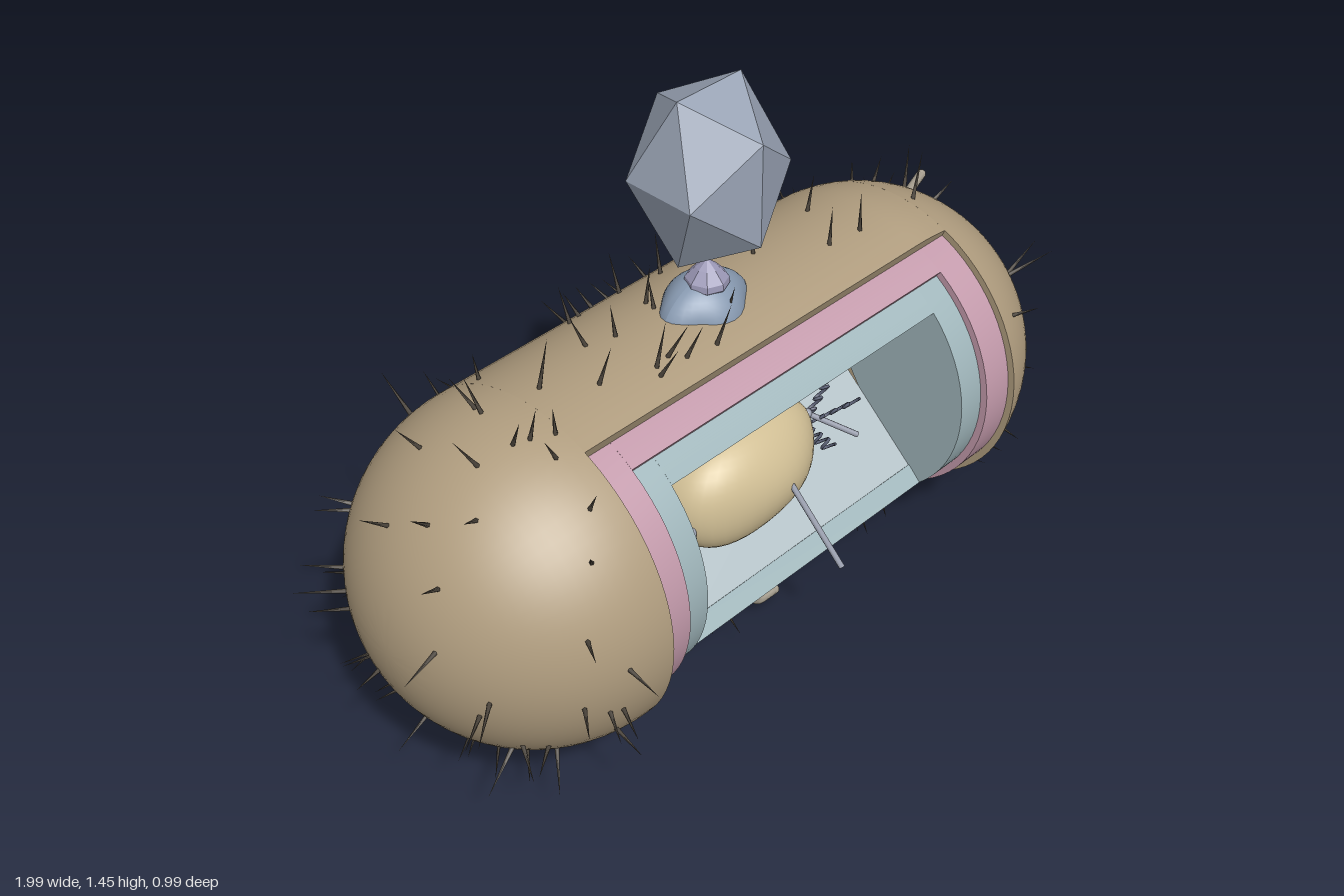
import * as THREE from 'three';
import { mergeGeometries, toCreasedNormals } from 'three/addons/utils/BufferGeometryUtils.js';

const R = 0.405, L = 0.5225, DEG = Math.PI / 180;
const V = (x, y, z) => new THREE.Vector3(x, y, z);

function mat(color, extra = {}) {
  return new THREE.MeshStandardMaterial({ color, side: THREE.DoubleSide, ...extra });
}

function add(parent, name, geometry, material, x = 0, y = 0, z = 0) {
  const mesh = new THREE.Mesh(geometry, material);
  mesh.name = name;
  mesh.position.set(x, y, z);
  parent.add(mesh);
  return mesh;
}

function seeded(seed) {
  return () => (seed = (seed * 16807) % 2147483647) / 2147483647;
}

// Solid swept about the x axis; profile is [radius, x], angle 0 points to +z
function sweep(profile, from = 0, to = 360) {
  const pts = profile.map(([r, x]) => new THREE.Vector2(r, x));
  const full = to - from >= 360;
  const lathe = new THREE.LatheGeometry(
    full ? pts : [...pts, pts[0]], Math.max(12, Math.round((to - from) / 5)), from * DEG, (to - from) * DEG);
  const parts = [toCreasedNormals(lathe, 0.6)];
  if (!full) {
    for (const a of [from, to]) {
      const rim = new THREE.ShapeGeometry(new THREE.Shape(pts)).rotateY(a * DEG - Math.PI / 2);
      parts.push(rim.toNonIndexed());
    }
  }
  return mergeGeometries(parts).rotateZ(-Math.PI / 2);
}

// Capsule radius at x
function radiusAt(x) {
  const d = x - THREE.MathUtils.clamp(x, -L, L);
  return Math.sqrt(Math.max(0, R * R - d * d));
}

function block(r0, r1, x0, x1) {
  return [[r0, x0], [r1, x0], [r1, x1], [r0, x1]];
}

// One inner wall layer: a frame around a smaller window
function frame(parent, name, material, r, outer, inner) {
  const [A, B, H] = outer, [a, b, h] = inner;
  add(parent, name + 'RightEnd', sweep(block(0.001, r, A, a), -H, H), material);
  add(parent, name + 'LeftEnd', sweep(block(0.001, r, b, B), -H, H), material);
  add(parent, name + 'Top', sweep(block(r - 0.05, r, a, b), 180 + (180 - H), 360 - h), material).scale.y = 1;
  add(parent, name + 'Bottom', sweep(block(r - 0.05, r, a, b), h, H), material);
}

// Outer skin: two rounded ends and the cut-open middle
function buildBody(body) {
  const skin = mat(0xb09d7f);
  const x0 = -0.51, x1 = 0.63, cut = 67, n = 20;
  const right = [], left = [], mid = [[0.365, x0], [R, x0]];
  for (let i = 0; i <= n; i++) {
    const t = (i / n) * Math.PI / 2;
    right.push([R * Math.sin(t), -L - R * Math.cos(t)]);
  }
  right.push([R, x0], [0, x0]);
  const t0 = Math.asin((x1 - L) / R);
  left.push([0, x1]);
  for (let i = 0; i <= n; i++) {
    const t = t0 + (i / n) * (Math.PI / 2 - t0);
    left.push([R * Math.cos(t), L + R * Math.sin(t)]);
  }
  for (let i = 0; i <= 4; i++) {
    const x = L + (i / 4) * (x1 - L);
    mid.push([radiusAt(x), x]);
  }
  mid.push([0.365, x1]);
  add(body, 'skinRightEnd', sweep(right), skin);
  add(body, 'skinLeftEnd', sweep(left), skin);
  add(body, 'skinMiddle', sweep(mid, cut, 360 - cut), skin);

  // Wall layers
  const w1 = [-0.43, 0.55, 56], w2 = [-0.36, 0.48, 45];
  frame(body, 'middleWall', mat(0xc39aab), 0.373, [x0, x1, 70], w1);
  frame(body, 'innerWall', mat(0xa0b6bb), 0.355, w1, w2);

  // Cavity lining
  const lining = new THREE.PlaneGeometry(w2[1] - w2[0], 1, 1, 3);
  const rows = [[0.235, 0.25], [-0.03, 0.16], [-0.03, 0], [0.25, -0.25]];
  const p = lining.attributes.position;
  for (let i = 0; i < p.count; i++) {
    const [z, y] = rows[Math.floor(i / 2)];
    p.setXYZ(i, p.getX(i) + (w2[0] + w2[1]) / 2, y, z);
  }
  add(body, 'cavityLining', toCreasedNormals(lining, 0.2), mat(0xb3c0c6));
}

// Soft lump made from a sphere with gentle waves
function lump(sx, sy, sz, wave) {
  const g = new THREE.SphereGeometry(1, 40, 28);
  const p = g.attributes.position, v = V(0, 0, 0);
  for (let i = 0; i < p.count; i++) {
    v.fromBufferAttribute(p, i);
    const k = 1 + wave * (Math.sin(3 * v.x + 1) * Math.cos(2.5 * v.y) + 0.6 * Math.sin(4 * v.z + 2 * v.x));
    p.setXYZ(i, v.x * k * sx, v.y * k * sy, v.z * k * sz);
  }
  g.computeVertexNormals();
  return g;
}

function tube(points, r, segments = 16, sides = 8) {
  return new THREE.TubeGeometry(new THREE.CatmullRomCurve3(points), segments, r, sides);
}

// Organ, rods and curled strands in the cavity
function buildContents(root) {
  const organ = mat(0xd2c096), rodMat = mat(0x9a9fae), curl = mat(0x5d6378);
  add(root, 'organ', lump(0.24, 0.15, 0.13, 0.06), organ, 0.01, 0.51, 0.11);
  add(root, 'organLobe', lump(0.105, 0.042, 0.08, 0.06), organ, 0.005, 0.685, 0.1).rotation.z = 0.12;
  const rods = [
    [V(-0.17, 0.53, 0.15), V(-0.25, 0.32, 0.25)],
    [V(0.06, 0.53, 0.22), V(0.09, 0.33, 0.37)],
    [V(0.24, 0.55, 0.12), V(0.33, 0.48, 0.2)]];
  for (const [a, b] of rods) {
    add(root, 'rod', tube([a, a.clone().lerp(b, 0.5), b], 0.007, 4), rodMat);
    add(root, 'rodKnob', new THREE.SphereGeometry(0.012, 12, 8), rodMat, a.x, a.y, a.z);
  }
  const strands = [
    [V(-0.19, 0.55, 0.1), V(-0.28, 0.58, 0.14)], [V(-0.2, 0.6, 0.1), V(-0.22, 0.65, 0.14)],
    [V(-0.2, 0.5, 0.12), V(-0.34, 0.47, 0.17)], [V(0.25, 0.5, 0.1), V(0.3, 0.62, 0.13)],
    [V(0.23, 0.52, 0.12), V(0.35, 0.55, 0.17)], [V(0.24, 0.5, 0.1), V(0.27, 0.46, 0.17)]];
  for (const [a, b] of strands) {
    const pts = [];
    for (let i = 0; i <= 32; i++) {
      const t = i * 0.8;
      pts.push(a.clone().lerp(b, i / 32).add(V(0.012 * Math.cos(t), 0.014 * Math.sin(t), 0.012 * Math.sin(t))));
    }
    add(root, 'curledStrand', tube(pts, 0.004, 80, 5), curl);
  }
}

// Thin bristles, densest at the back and underneath
function buildBristles(body) {
  const rand = seeded(4711), parts = [], up = V(0, 1, 0);
  while (parts.length < 230) {
    const x = (rand() * 2 - 1) * (L + R), a = (rand() * 2 - 1) * Math.PI;
    const ny = Math.sin(a), nz = Math.cos(a), len = 0.06 + 0.055 * rand();
    const inWindow = Math.abs(a) < 72 * DEG && x > -0.56 && x < 0.68;
    if (inWindow || rand() < 0.4 * (ny + nz)) continue;
    const r = radiusAt(x), ex = THREE.MathUtils.clamp(x, -L, L);
    const base = V(x, r * ny, r * nz);
    const dir = base.clone().sub(V(ex, 0, 0)).normalize();
    dir.add(V(rand() - 0.5, rand() - 0.5, rand() - 0.5).multiplyScalar(0.6)).normalize();
    const g = new THREE.ConeGeometry(0.006, len + 0.01, 5).translate(0, len / 2 - 0.005, 0);
    g.applyQuaternion(new THREE.Quaternion().setFromUnitVectors(up, dir));
    parts.push(g.translate(base.x, base.y, base.z));
  }
  add(body, 'bristles', mergeGeometries(parts), mat(0x4c453c));
}

// Bent stubs with a collar at the skin
function buildStubs(root) {
  const m = mat(0xa39b8c);
  const stubs = [
    [V(0.84, 0.69, -0.13), V(0.91, 0.725, -0.15), V(0.985, 0.74, -0.17)],
    [V(0.23, 0.86, -0.19), V(0.24, 0.92, -0.22), V(0.3, 0.935, -0.23)],
    [V(-0.17, 0.61, -0.36), V(-0.165, 0.625, -0.43), V(-0.1, 0.63, -0.445)],
    [V(0.07, 0.15, 0.12), V(0.08, 0.07, 0.12), V(0.145, 0.06, 0.12)],
    [V(0.48, 0.16, -0.14), V(0.5, 0.11, -0.17), V(0.55, 0.1, -0.18)]];
  for (const pts of stubs) {
    add(root, 'stub', tube(pts, 0.012), m);
    const end = pts[2];
    add(root, 'stubTip', new THREE.SphereGeometry(0.012, 10, 8), m, end.x, end.y, end.z);
    const c = pts[0].clone().lerp(pts[1], 0.3);
    const collar = add(root, 'stubCollar', new THREE.TorusGeometry(0.018, 0.01, 8, 16), m, c.x, c.y, c.z);
    collar.lookAt(pts[1]);
  }
}

// Faceted head floating over a lobed saddle and a small pointed knob
function buildHead(root) {
  const head = add(root, 'facetedHead', new THREE.IcosahedronGeometry(1, 0),
    mat(0x99a3b4, { flatShading: true }), 0.01, 1.267, 0.025);
  head.scale.set(0.176, 0.2325, 0.176);

  const saddle = new THREE.SphereGeometry(1, 32, 12, 0, Math.PI * 2, 0, Math.PI / 2);
  const p = saddle.attributes.position;
  for (let i = 0; i < p.count; i++) {
    const x = p.getX(i), y = p.getY(i), z = p.getZ(i);
    const flare = 1 + 0.1 * (1 - y) * Math.cos(4 * Math.atan2(z, x));
    p.setXYZ(i, x * flare * 0.115, y * 0.095, z * flare * 0.09);
  }
  saddle.computeVertexNormals();
  add(root, 'saddle', saddle, mat(0x8799b0), 0.01, 0.905, 0.01);
  const knob = [[0.02, 0.95], [0.05, 0.985], [0.048, 1.0], [0.025, 1.025], [0, 1.045]];
  add(root, 'knob', new THREE.LatheGeometry(knob.map(([r, y]) => new THREE.Vector2(r, y)), 8),
    mat(0x9b98b6, { flatShading: true }), 0.01, 0, 0.02);
}

export function createModel() {
  const root = new THREE.Group();
  root.name = 'cutawayCapsule';
  const body = new THREE.Group();
  body.name = 'body';
  body.position.set(0.01, 0.53, 0.02);
  root.add(body);
  buildBody(body);
  buildBristles(body);
  buildContents(root);
  buildStubs(root);
  buildHead(root);
  return root;
}
